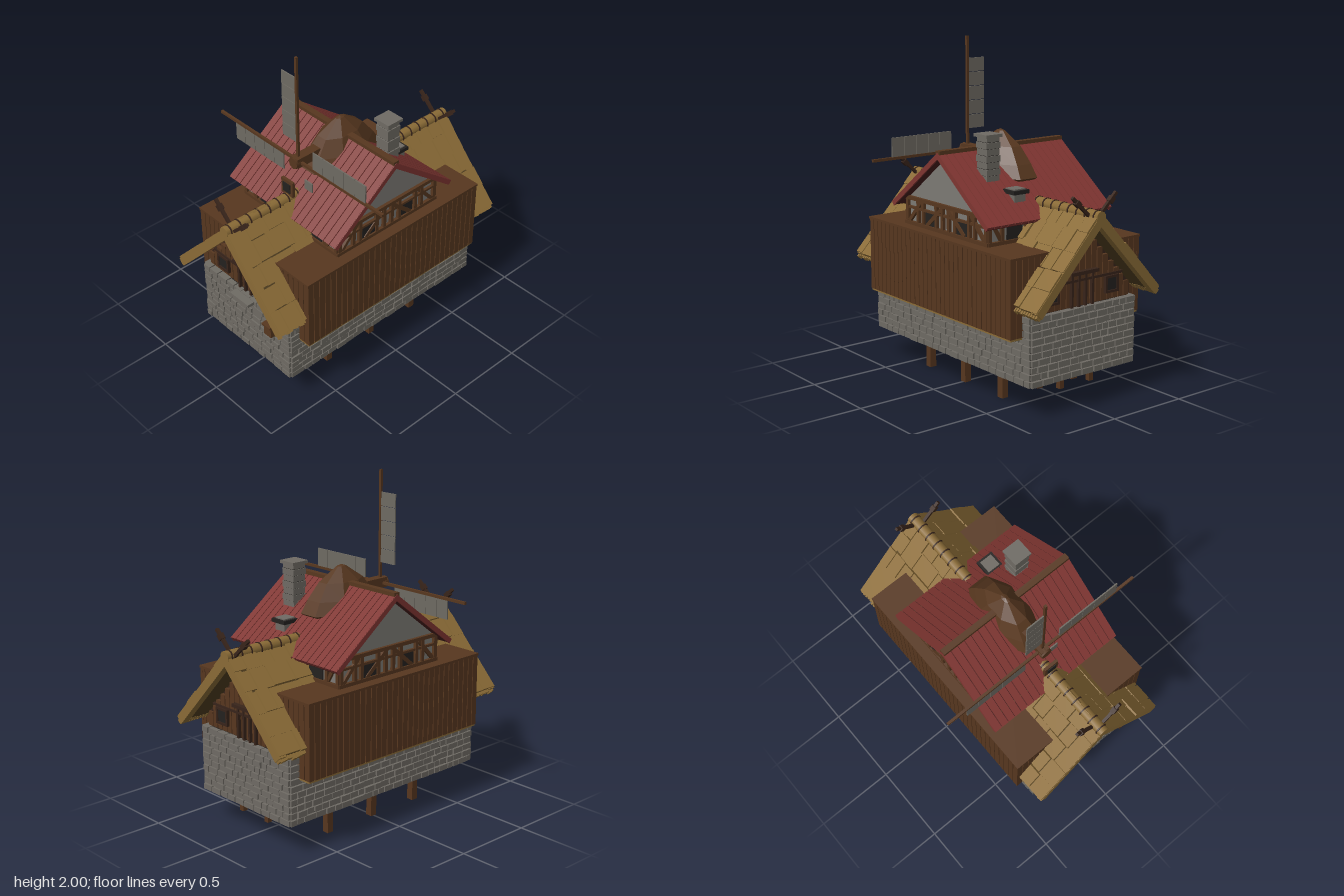
import * as THREE from 'three';
import { mergeGeometries } from 'three/addons/utils/BufferGeometryUtils.js';

const mat = (name, color) => {
  const m = new THREE.MeshStandardMaterial({ color });
  m.name = name;
  return m;
};

// Small seeded generator for uneven stones and thatch
let seed = 7;
const rnd = () => (seed = (seed * 16807) % 2147483647) / 2147483647;

const box = (w, h, d, x, y, z) => new THREE.BoxGeometry(w, h, d).translate(x, y, z);

// Square bar between two points
function beam(a, b, w, d = w) {
  const p = new THREE.Vector3(...a), q = new THREE.Vector3(...b);
  const dir = q.clone().sub(p);
  const quat = new THREE.Quaternion().setFromUnitVectors(new THREE.Vector3(0, 1, 0), dir.clone().normalize());
  const mid = p.add(q).multiplyScalar(0.5);
  return new THREE.BoxGeometry(w, dir.length(), d).applyQuaternion(quat).translate(mid.x, mid.y, mid.z);
}

function part(parent, name, material, geos) {
  const mesh = new THREE.Mesh(mergeGeometries(geos), material);
  mesh.name = name;
  parent.add(mesh);
  return mesh;
}

export function createModel() {
  const stone = mat('stone', 0x6f6b64), mortar = mat('darkGap', 0x24211f);
  const wood = mat('wood', 0x57371f), darkWood = mat('darkWood', 0x38241a);
  const thatch = mat('thatch', 0x8a6b36), darkThatch = mat('darkThatch', 0x4f3d20);
  const red = mat('redRoof', 0x7f3531), darkRed = mat('darkRed', 0x481e1d);
  const plaster = mat('plaster', 0x7d7a75), canvas = mat('canvas', 0x6e6a62);
  const model = new THREE.Group();
  const ends = [1, -1];

  // Stone base laid in staggered courses
  part(model, 'baseCore', mortar, [box(0.745, 0.39, 1.455, 0, 0.38, 0)]);
  const bricks = [];
  for (let r = 0; r < 10; r++) {
    const y = 0.202 + r * 0.04;
    const course = (len, place) => {
      let t = -len / 2;
      while (t < len / 2 - 0.01) {
        let w = 0.045 + rnd() * 0.045;
        if (t + w > len / 2 - 0.03) w = len / 2 - t;
        place(t + w / 2, w - 0.007, 0.028 + rnd() * 0.014);
        t += w;
      }
    };
    for (const s of ends) {
      course(0.765, (t, w, d) => bricks.push(box(w, 0.033, d, t, y, s * 0.73)));
      course(1.48, (t, w, d) => bricks.push(box(d, 0.033, w, s * 0.373, y, t)));
    }
  }
  part(model, 'stoneBase', stone, bricks);

  // Stilts under the base
  const stilts = [];
  for (const x of [-0.263, 0, 0.263])
    for (const z of [-0.35, 0, 0.35]) stilts.push(box(0.042, 0.2, 0.042, x, 0.1, z));
  for (const x of [-0.11, 0.11]) stilts.push(box(0.03, 0.1, 0.03, x, 0.16, -0.67));
  part(model, 'stilts', wood, stilts);

  // Plank-clad middle storey with overhanging sides
  part(model, 'middleStoreyCore', darkWood, [box(0.93, 0.44, 1.34, 0, 0.68, 0)]);
  part(model, 'middleStoreyDeck', wood, [box(0.955, 0.014, 1.365, 0, 0.903, 0)]);
  const planks = [], sills = [];
  for (const s of ends) {
    for (let i = 0; i < 32; i++)
      planks.push(box(0.016, 0.44, 0.037, s * 0.466, 0.68, -0.659 + i * 0.0425));
    for (let i = 0; i < 6; i++)
      for (const e of ends) planks.push(box(0.037, 0.44, 0.014, s * (0.453 - i * 0.042), 0.68, e * 0.67));
    sills.push(box(0.08, 0.012, 1.35, s * 0.43, 0.455, 0));
  }
  part(model, 'sidePlanks', wood, planks);
  part(model, 'overhangSills', thatch, sills);

  // Gable ends: boards, rail, door, windows
  const gableCore = [], boards = [], trim = [], panes = [];
  const gableShape = new THREE.Shape([[-0.375, 0.57], [0.375, 0.57], [0.375, 0.65], [0, 1.06], [-0.375, 0.65]]
    .map(p => new THREE.Vector2(...p)));
  for (const s of ends) {
    gableCore.push(new THREE.ExtrudeGeometry(gableShape, { depth: 0.04, bevelEnabled: false }).translate(0, 0, s * 0.68 - 0.02));
    for (let i = -8; i <= 8; i++) {
      const x = i * 0.043, top = 1.03 - Math.abs(x) * 1.06;
      boards.push(box(0.037, top - 0.58, 0.014, x, (top + 0.58) / 2, s * 0.704));
      if (top > 0.74) boards.push(box(0.037, top - 0.73, 0.012, x, (top + 0.73) / 2, s * 0.716));
    }
    trim.push(box(0.6, 0.014, 0.02, 0, 0.73, s * 0.718), box(0.2, 0.02, 0.04, 0, 0.775, s * 0.73));
    for (const x of [-0.075, -0.025, 0.025, 0.075]) trim.push(box(0.014, 0.19, 0.026, x, 0.67, s * 0.716));
    for (const x of [-0.22, 0.22]) {
      panes.push(box(0.07, 0.07, 0.008, x, 0.67, s * 0.722));
      for (const e of ends)
        trim.push(box(0.1, 0.014, 0.026, x, 0.67 + e * 0.043, s * 0.718), box(0.014, 0.09, 0.026, x + e * 0.043, 0.67, s * 0.718));
    }
  }
  part(model, 'gableCores', darkWood, gableCore);
  part(model, 'gableBoards', wood, boards);
  part(model, 'gableTrim', darkWood, trim);
  part(model, 'gableWindows', mortar, panes);
  part(model, 'doorStep', stone, [box(0.16, 0.02, 0.07, 0, 0.565, 0.76)]);
  part(model, 'hangingBox', wood, [box(0.06, 0.075, 0.055, 0.265, 0.515, 0.78), box(0.07, 0.012, 0.1, 0.265, 0.555, 0.77)]);

  // Thatched main roof, each side built flat then tilted
  const tilt = (ang, y, yaw) => g => g.rotateZ(-ang).translate(0, y, 0).rotateY(yaw);
  const under = [], tufts = [];
  for (const yaw of [0, Math.PI]) {
    const place = tilt(0.815, 1.125, yaw);
    under.push(place(box(0.65, 0.03, 1.72, 0.325, -0.028, 0)));
    for (const z of [-0.845, 0.845]) tufts.push(place(box(0.66, 0.05, 0.05, 0.33, -0.026, z)));
    for (let r = 0; r < 5; r++) {
      let z = -0.87;
      while (z < 0.86) {
        let w = 0.08 + rnd() * 0.08;
        if (z + w > 0.82) w = 0.87 - z;
        const len = 0.132 + (rnd() - 0.5) * 0.03;
        tufts.push(place(box(len, 0.022, w - 0.006, 0.06 + r * 0.133 + (rnd() - 0.5) * 0.01, -0.008 + rnd() * 0.008, z + w / 2)));
        z += w;
      }
    }
    // Ragged eaves
    for (let z = -0.86; z < 0.87; z += 0.02)
      tufts.push(place(box(0.03 + rnd() * 0.02, 0.03, 0.014, 0.655, -0.03, z)));
  }
  part(model, 'thatchUnderlay', darkThatch, under);
  part(model, 'thatch', thatch, tufts);

  // Rolled thatch ridge with bindings and crossed poles
  const roll = (r, len, z) => new THREE.CylinderGeometry(r, r, len, 10).rotateX(Math.PI / 2).translate(0, 1.105, z);
  part(model, 'ridgeRoll', thatch, [roll(0.034, 1.74, 0)]);
  const bindings = [], poles = [];
  for (let i = 0; i < 25; i++) bindings.push(roll(0.038, 0.008, -0.84 + i * 0.07));
  for (const z of [-0.81, 0.81])
    for (const s of ends) {
      poles.push(beam([-s * 0.04, 1.04, z + s * 0.01], [s * 0.15, 1.22, z + s * 0.01], 0.018));
      poles.push(beam([s * 0.1, 1.17, z + s * 0.01], [s * 0.125, 1.195, z + s * 0.01], 0.03));
    }
  part(model, 'ridgeBindings', darkWood, bindings);
  part(model, 'crossedPoles', darkWood, poles);

  // Timber-framed upper storey
  const attic = new THREE.Shape([[-0.38, 0.9], [0.38, 0.9], [0.38, 1.07], [0, 1.365], [-0.38, 1.07]]
    .map(p => new THREE.Vector2(...p)));
  part(model, 'upperWalls', plaster, [
    new THREE.ExtrudeGeometry(attic, { depth: 0.78, bevelEnabled: false }).translate(0, 0, -0.39).rotateY(Math.PI / 2)]);
  const frame = [], upperPanes = [];
  for (const s of ends) {
    const X = s * 0.395, Z = s * 0.385;
    for (const y of [0.92, 1.07]) frame.push(box(0.03, 0.022, 0.79, X, y, 0), box(0.81, 0.022, 0.03, 0, y, Z));
    frame.push(box(0.024, 0.014, 0.76, X, 1.015, 0));
    for (const e of ends) {
      for (const t of [0.03, 0.09, 0.22, 0.27, 0.375]) frame.push(box(0.026, 0.17, 0.022, X, 0.99, e * t));
      frame.push(beam([X, 1.065, e * 0.02], [X, 0.93, e * 0.18], 0.024));
      frame.push(beam([X, 1.06, e * 0.24], [X, 0.93, e * 0.36], 0.022));
      for (const t of [0.13, 0.3, 0.39]) frame.push(box(0.022, 0.17, 0.026, e * t, 0.99, Z));
      frame.push(beam([e * 0.3, 0.92, Z], [e * 0.38, 1.06, Z], 0.02));
      upperPanes.push(box(0.008, 0.09, 0.1, s * 0.396, 0.965, e * 0.15), box(0.11, 0.1, 0.008, e * 0.21, 0.96, s * 0.386));
    }
  }
  part(model, 'timberFrame', wood, frame);
  part(model, 'upperWindows', mortar, upperPanes);

  // Red board roof across the building
  const redBase = [], redBoards = [];
  for (const yaw of [-Math.PI / 2, Math.PI / 2]) {
    const place = tilt(0.65, 1.385, yaw);
    redBase.push(place(box(0.575, 0.02, 0.9, 0.2875, -0.014, 0)));
    for (let i = 0; i < 19; i++) redBoards.push(place(box(0.578, 0.02, 0.043, 0.289, -0.006, -0.432 + i * 0.048)));
    for (const z of [-0.452, 0.452]) redBoards.push(place(box(0.578, 0.03, 0.01, 0.289, -0.012, z)));
  }
  part(model, 'redRoofBase', darkRed, redBase);
  part(model, 'redRoofBoards', red, redBoards);
  part(model, 'redRoofRidge', wood, [box(0.91, 0.022, 0.038, 0, 1.388, 0)]);

  // Faceted turret cap
  const capProfile = [[0.85, 1.2], [1, 1.225], [0.83, 1.3], [0.55, 1.395], [0.12, 1.475], [0, 1.485]];
  const cap = new THREE.LatheGeometry(capProfile.map(p => new THREE.Vector2(...p)), 8)
    .rotateY(Math.PI / 8).scale(0.162, 1, 0.28).toNonIndexed();
  cap.computeVertexNormals();
  part(model, 'turretCap', wood, [cap]);

  // Windmill axle, poles and panelled sails
  part(model, 'axle', wood, [box(0.06, 0.06, 0.17, 0, 1.325, 0.265),
    new THREE.CylinderGeometry(0.036, 0.036, 0.03, 8).rotateX(Math.PI / 2).translate(0, 1.322, 0.345)]);
  part(model, 'sailPoles', wood, [box(1.36, 0.016, 0.016, 0, 1.322, 0.32), box(0.015, 0.68, 0.015, 0, 1.66, 0.32)]);
  const sails = [];
  for (let i = 0; i < 5; i++) {
    const t = 0.165 + i * 0.085;
    sails.push(box(0.082, 0.115, 0.008, t, 1.385, 0.32), box(0.082, 0.115, 0.008, -t, 1.258, 0.32),
      box(0.115, 0.081, 0.008, -0.065, 1.322 + t, 0.32));
  }
  part(model, 'sails', canvas, sails);

  // Small board and torn sail scrap above the front ridge
  part(model, 'ridgeBoard', wood, [box(0.095, 0.1, 0.018, 0, 1.18, 0.4)]);
  part(model, 'ridgeBoardPane', mortar, [box(0.06, 0.06, 0.006, 0, 1.18, 0.411)]);
  part(model, 'sailScrap', canvas, [box(0.065, 0.06, 0.008, 0.085, 1.19, 0.32)]);

  // Chimneys
  const chimney = [];
  for (let i = 0; i < 9; i++) {
    const w = 0.09 + (i % 2) * 0.008;
    chimney.push(box(w, 0.035, w, 0.222, 1.167 + i * 0.038, -0.166));
  }
  chimney.push(box(0.116, 0.018, 0.116, 0.222, 1.488, -0.166), box(0.08, 0.12, 0.08, 0.14, 1.11, -0.31));
  part(model, 'chimneyStones', stone, chimney);
  part(model, 'chimneyGaps', mortar, [box(0.085, 0.33, 0.085, 0.222, 1.315, -0.166), box(0.11, 0.022, 0.11, 0.14, 1.18, -0.31)]);
  part(model, 'shortChimneyTop', stone, [box(0.08, 0.008, 0.08, 0.14, 1.194, -0.31)]);

  return model;
}
